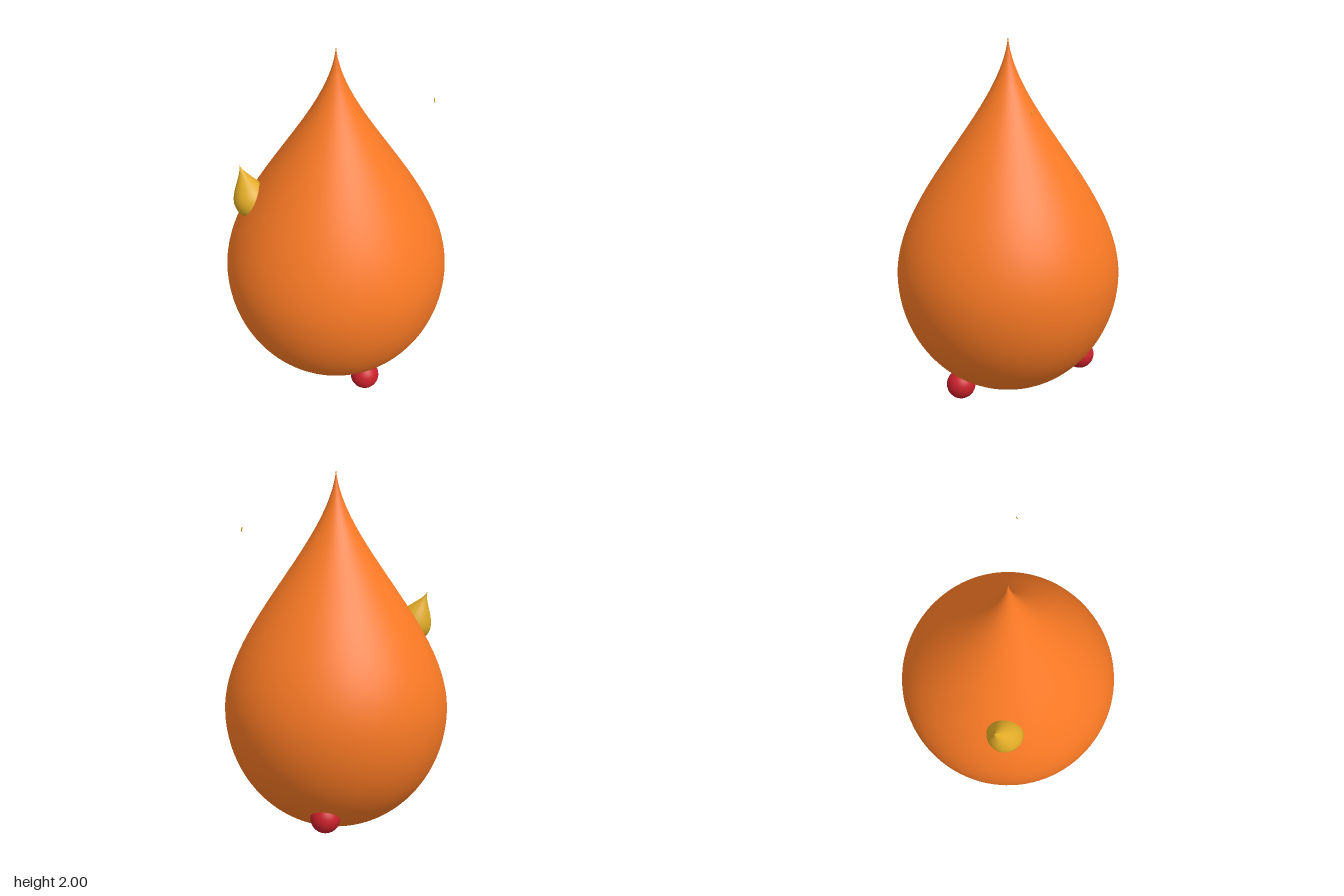
import * as THREE from 'three';

const V2 = (x, y) => new THREE.Vector2(x, y);

// Teardrop outline: rounded bowl below, concave sweep up to a fine tip
function dropProfile() {
  const bowl = [];
  for (let i = 0; i <= 28; i++) {
    const a = (i / 28) * Math.PI / 2;
    bowl.push(V2(0.622 * Math.sin(a), 0.68 - 0.675 * Math.cos(a)));
  }
  const sweep = new THREE.CubicBezierCurve(V2(0.622, 0.68), V2(0.622, 1.14), V2(0.03, 1.6), V2(0, 1.995));
  return bowl.concat(sweep.getPoints(44).slice(1));
}

function part(name, geometry, color, position) {
  const mesh = new THREE.Mesh(geometry, new THREE.MeshStandardMaterial({ color }));
  mesh.name = name;
  if (position) mesh.position.set(...position);
  return mesh;
}

export function createModel() {
  const model = new THREE.Group();
  model.name = 'drop';

  // Large drop
  const dropGeometry = new THREE.LatheGeometry(dropProfile(), 96);
  model.add(part('body', dropGeometry, 0xf97924));

  // Three beads half sunk into the underside
  const bead = new THREE.SphereGeometry(0.081, 32, 24);
  const beads = [[0, 0.081, 0.343], [0.31, 0.19, -0.28], [-0.26, 0.165, -0.205]];
  beads.forEach((p, i) => model.add(part(`bead${i + 1}`, bead, 0xc8202a, p)));

  // Small leaning drop sunk into the upper back, pivoting about its widest ring
  const smallGeometry = dropGeometry.clone().translate(0, -0.68, 0);
  const small = part('smallDrop', smallGeometry, 0xe0ab26, [-0.422, 1.13, -0.182]);
  small.scale.setScalar(0.158);
  small.quaternion.setFromUnitVectors(
    new THREE.Vector3(0, 1, 0), new THREE.Vector3(-0.031, 0.19, -0.073).normalize());
  model.add(small);

  // Tiny sliver floating beside the tip
  const sliver = part('sliver', new THREE.SphereGeometry(1, 8, 6), 0xe0ab26, [0.455, 1.69, 0.226]);
  sliver.scale.set(0.003, 0.015, 0.003);
  sliver.rotation.x = -0.3;
  model.add(sliver);

  return model;
}
